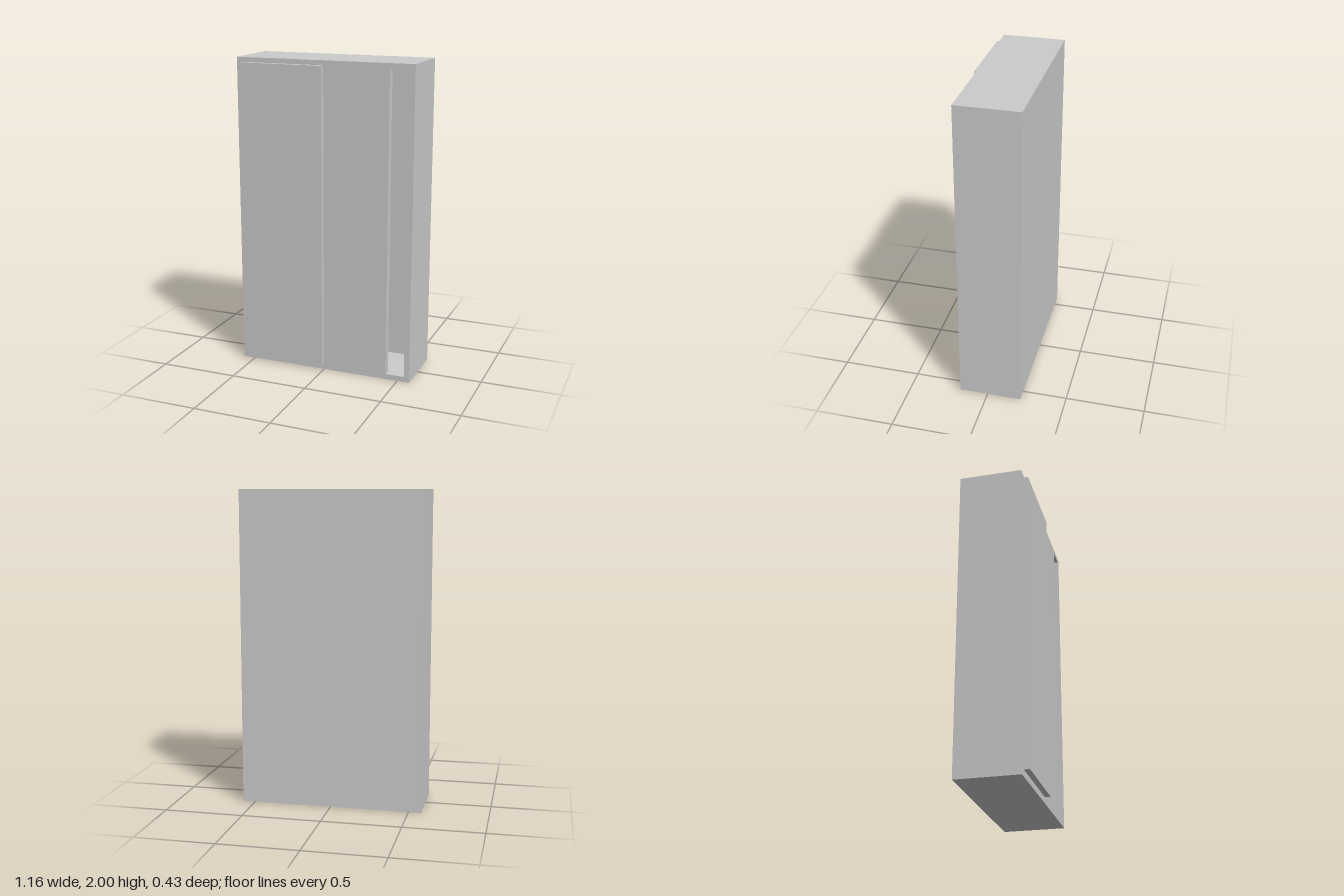
import * as THREE from 'three';

const material = new THREE.MeshStandardMaterial({ color: 0xcccccc });

// Rectangle outline from its limits
function rect(Type, x0, x1, y0, y1) {
  return new Type([
    new THREE.Vector2(x0, y0), new THREE.Vector2(x1, y0),
    new THREE.Vector2(x1, y1), new THREE.Vector2(x0, y1),
  ]);
}

// Upright panel between z0 and z1, with an optional rectangular opening
function panel(name, outline, z0, z1, opening) {
  const shape = rect(THREE.Shape, ...outline);
  if (opening) shape.holes.push(rect(THREE.Path, ...opening));
  const geometry = new THREE.ExtrudeGeometry(shape, { depth: z1 - z0, bevelEnabled: false });
  geometry.translate(0, 0, z0);
  const mesh = new THREE.Mesh(geometry, material);
  mesh.name = name;
  return mesh;
}

export function createModel() {
  const group = new THREE.Group();
  group.name = 'slidingDoorWardrobe';

  const outer = [-0.58, 0.58, 0, 2];
  const back = -0.217, front = 0.182;
  const innerBack = -0.165, innerFront = 0.134;

  group.add(
    // Hollow case: back, surround of sides, top and floor, then the front
    panel('backPanel', outer, back, innerBack),
    panel('caseSurround', outer, innerBack, innerFront, [-0.545, 0.545, 0.035, 1.97]),
    // Front is open only in the tall gap on the left
    panel('frontPanel', outer, innerFront, front, [0.423, 0.545, 0.035, 1.97]),
    // Outer sliding door standing proud of the front
    panel('slidingDoor', [-0.54, 0, 0.04, 1.97], front, 0.217),
  );
  return group;
}
